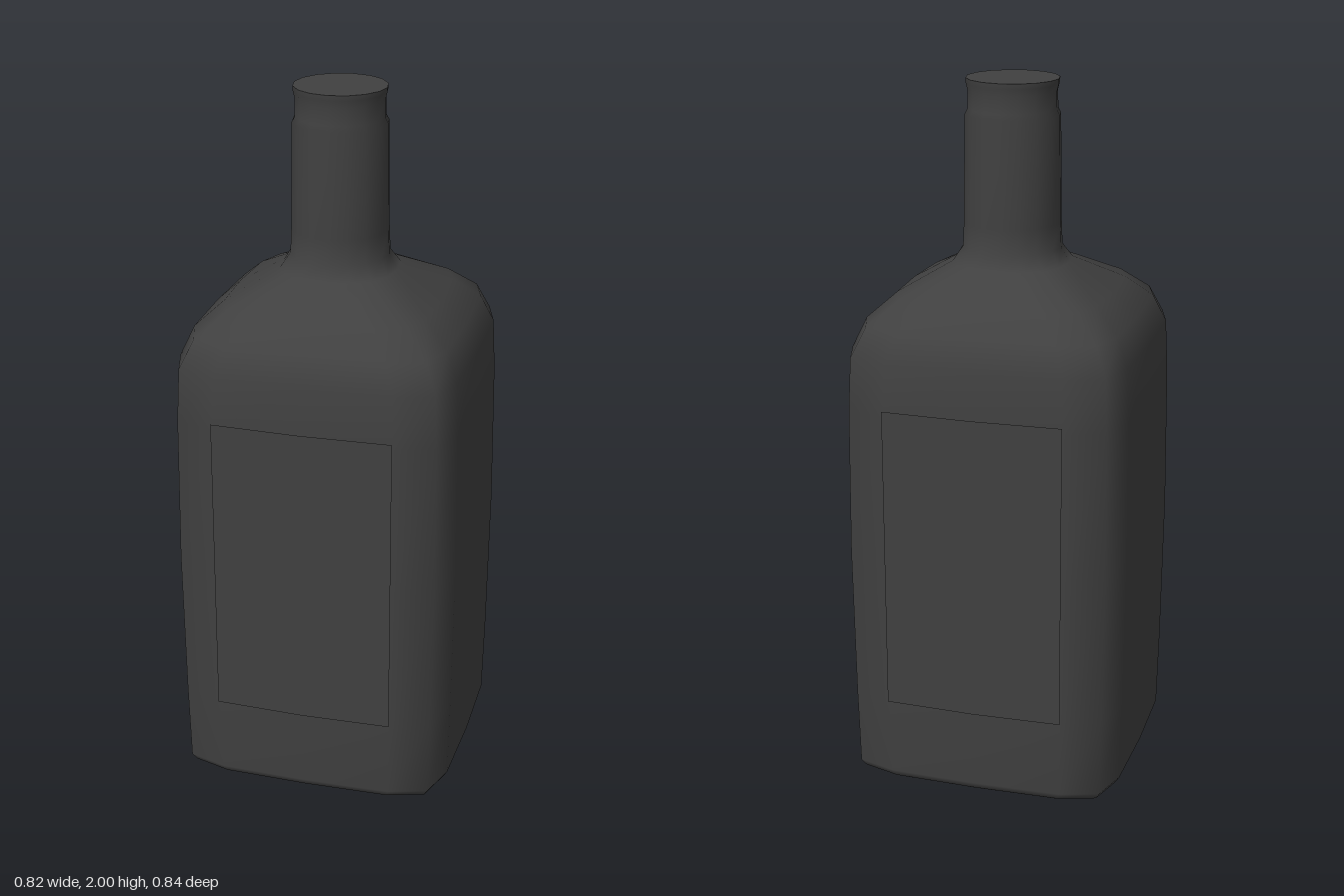
import * as THREE from 'three';

const SIDES = 16;

// First quarter of the rounded-square cross-section, at half width 1
const QUARTER = [[1, 0], [0.985, 0.625], [0.9, 0.9], [0.625, 0.985]];

// Point i of a ring: round = 0 gives the rounded square, 1 a circle
function ringPoint(i, half, round) {
  const turns = Math.floor(i / 4);
  let [x, z] = QUARTER[i % 4];
  for (let k = 0; k < turns; k++) [x, z] = [-z, x];
  const a = (i / SIDES) * Math.PI * 2;
  return [
    half * THREE.MathUtils.lerp(x, Math.cos(a), round),
    half * THREE.MathUtils.lerp(z, Math.sin(a), round),
  ];
}

// Smooth skin through a stack of rings [y, half width, roundness]
function loft(rings) {
  const pos = [], index = [];
  rings.forEach(([y, half, round]) => {
    for (let i = 0; i < SIDES; i++) {
      const [x, z] = ringPoint(i, half, round);
      pos.push(x, y, z);
    }
  });
  for (let r = 0; r < rings.length - 1; r++) {
    for (let i = 0; i < SIDES; i++) {
      const a = r * SIDES + i, b = r * SIDES + ((i + 1) % SIDES);
      index.push(a, a + SIDES, b, b, a + SIDES, b + SIDES);
    }
  }
  const geo = new THREE.BufferGeometry();
  geo.setAttribute('position', new THREE.Float32BufferAttribute(pos, 3));
  geo.setIndex(index);
  geo.computeVertexNormals();
  return geo;
}

// Flat lid over one ring, facing up or down
function cap([y, half, round], up) {
  const shape = new THREE.Shape();
  for (let i = 0; i < SIDES; i++) {
    const [x, z] = ringPoint(i, half, round);
    i ? shape.lineTo(x, z) : shape.moveTo(x, z);
  }
  const geo = new THREE.ShapeGeometry(shape);
  geo.rotateX(up ? -Math.PI / 2 : Math.PI / 2);
  return geo.translate(0, y, 0);
}

export function createModel() {
  const group = new THREE.Group();
  group.name = 'bottle';
  const glass = new THREE.MeshStandardMaterial({ color: 0x404040 });
  const paper = new THREE.MeshStandardMaterial({ color: 0x404040, side: THREE.DoubleSide });
  const add = (name, geo, mat = glass) => {
    const mesh = new THREE.Mesh(geo, mat);
    mesh.name = name;
    group.add(mesh);
    return mesh;
  };

  // Square body, shoulders easing into the round neck, and the lip
  const rings = [
    [0, 0.375, 0], [0.008, 0.388, 0], [0.03, 0.401, 0],
    [0.26, 0.406, 0], [0.7, 0.411, 0], [1.12, 0.407, 0], [1.27, 0.4, 0],
    [1.35, 0.366, 0.05], [1.415, 0.295, 0.2], [1.49, 0.165, 0.75],
    [1.53, 0.141, 1], [1.6, 0.138, 1], [1.9, 0.134, 1], [1.915, 0.126, 1],
    [1.965, 0.125, 1], [1.985, 0.13, 1], [2, 0.131, 1],
  ];
  add('body', loft(rings));
  add('base', cap(rings[0], false));
  add('stopperTop', cap(rings[rings.length - 1], true));

  // Thin labels, bent once down the middle
  const labelGeo = new THREE.PlaneGeometry(0.51, 0.88, 2, 1);
  const p = labelGeo.attributes.position;
  for (let i = 0; i < p.count; i++) p.setZ(i, Math.abs(p.getX(i)) < 0.01 ? 0.418 : 0.41);
  labelGeo.computeVertexNormals();
  labelGeo.translate(0, 0.7, 0);
  add('frontLabel', labelGeo, paper);
  add('backLabel', labelGeo, paper).rotation.y = Math.PI;

  // The bottle stands very slightly turned
  group.rotation.y = 0.015;
  return group;
}
